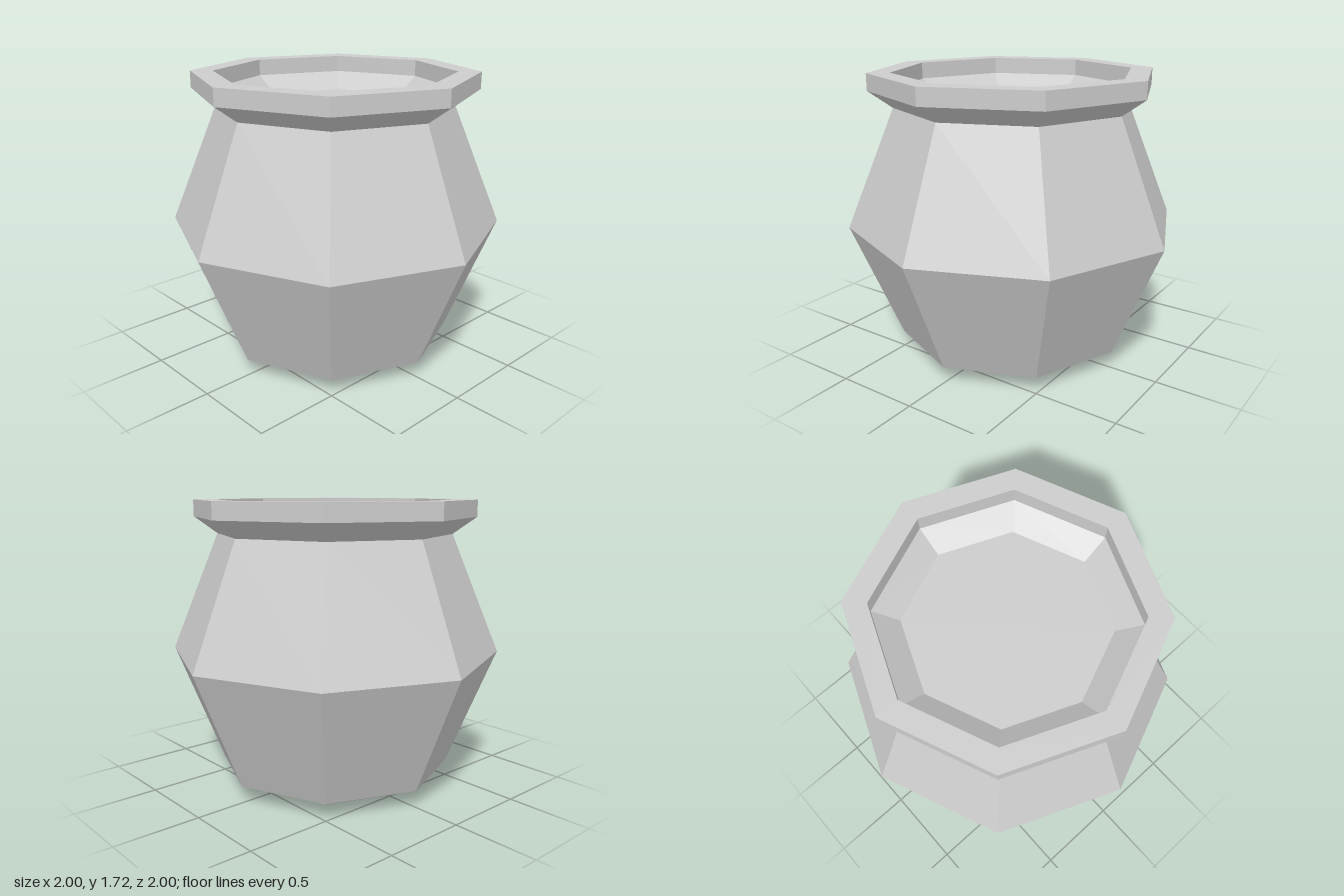
import * as THREE from 'three';

const SIDES = 8;

export function createModel() {
  const model = new THREE.Group();
  model.name = 'pot';
  const clay = new THREE.MeshStandardMaterial({ color: 0xcccccc, flatShading: true });
  clay.name = 'grey clay';

  // Octagonal ring surface turned from [radius, height] points
  const turn = (name, points) => {
    const profile = points.map(([r, y]) => new THREE.Vector2(r, y));
    const mesh = new THREE.Mesh(new THREE.LatheGeometry(profile, SIDES), clay);
    mesh.name = name;
    model.add(mesh);
  };

  // Flat octagonal disc, facing up or down, corners on the axes
  const disc = (name, radius, y, up) => {
    const mesh = new THREE.Mesh(new THREE.CircleGeometry(radius, SIDES), clay);
    mesh.rotation.x = up ? -Math.PI / 2 : Math.PI / 2;
    mesh.position.y = y;
    mesh.name = name;
    model.add(mesh);
  };

  disc('base', 0.49, 0, false);
  turn('foot', [[0.49, 0], [0.707, 0.1]]);
  turn('belly', [[0.707, 0.1], [1, 0.81], [0.707, 1.52]]);
  turn('rim', [[0.707, 1.52], [0.848, 1.62], [0.848, 1.72], [0.714, 1.72]]);
  turn('innerWall', [[0.714, 1.72], [0.714, 1.62], [0.572, 1.52]]);
  disc('innerFloor', 0.572, 1.52, true);

  return model;
}
